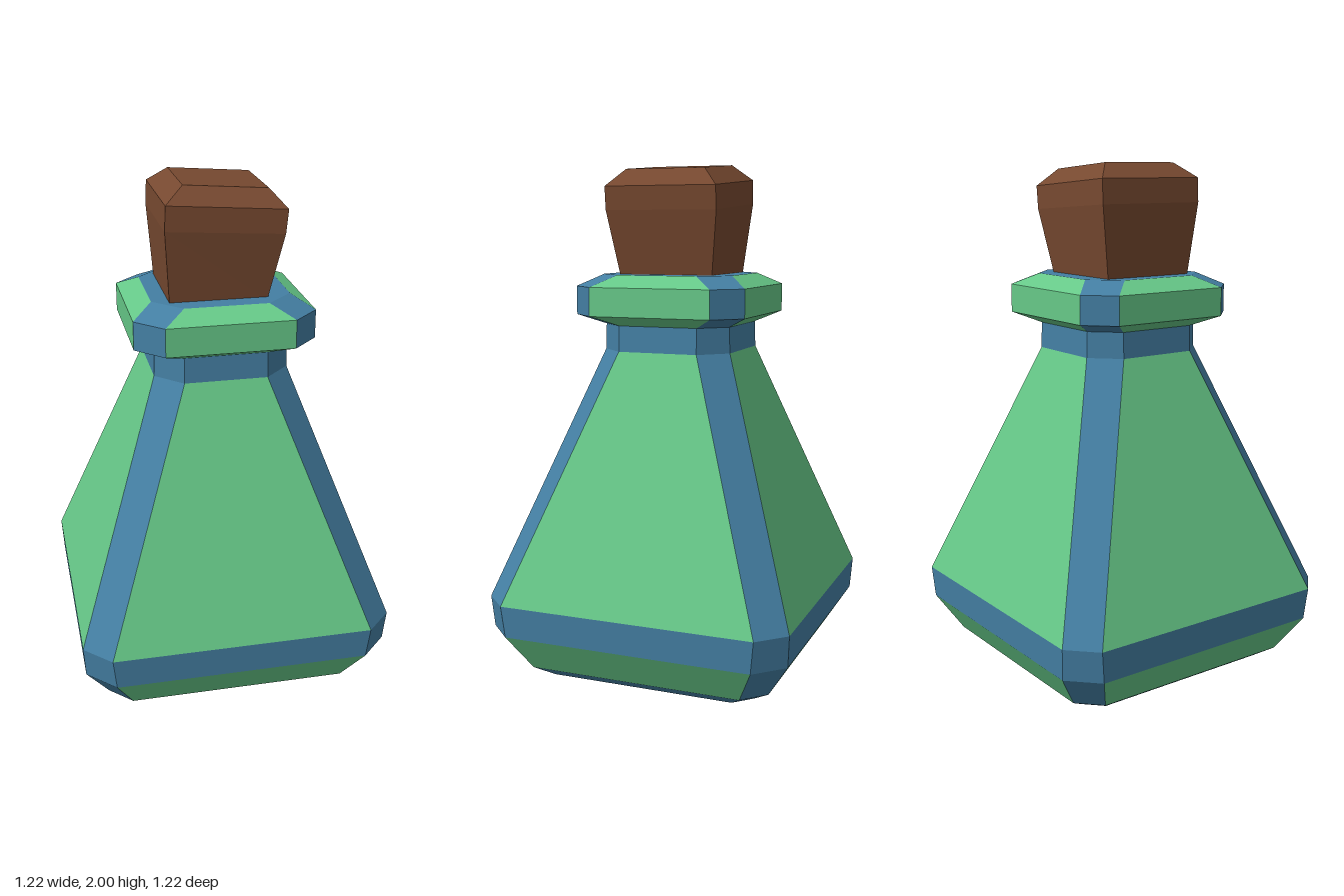
import * as THREE from 'three';

const blue = new THREE.MeshStandardMaterial({ color: 0x447fa3 });
blue.name = 'blueGlassEdge';
const green = new THREE.MeshStandardMaterial({ color: 0x66c888 });
green.name = 'greenGlassPanel';
const brown = new THREE.MeshStandardMaterial({ color: 0x774930 });
brown.name = 'corkBrown';

// Square with cut corners: h is half the width, f is half the flat side
const octagon = (y, h, f) =>
  [[h, -f], [h, f], [f, h], [-f, h], [-h, f], [-h, -f], [-f, -h], [f, -h]].map(([x, z]) => [x, y, z]);

// Rectangle that may tilt from its left to its right end
const tilted = (xl, yl, xr, yr, d) => [[xr, yr, -d], [xr, yr, d], [xl, yl, d], [xl, yl, -d]];

// Flat-faced mesh from a list of convex polygons
function polyMesh(name, polygons, material) {
  const pos = [];
  for (const p of polygons)
    for (let i = 1; i < p.length - 1; i++) pos.push(...p[0], ...p[i], ...p[i + 1]);
  const geo = new THREE.BufferGeometry();
  geo.setAttribute('position', new THREE.Float32BufferAttribute(pos, 3));
  geo.computeVertexNormals();
  const mesh = new THREE.Mesh(geo, material);
  mesh.name = name;
  return mesh;
}

// Side faces between two rings, a below b
const band = (a, b) =>
  a.map((p, i) => [p, b[i], b[(i + 1) % a.length], a[(i + 1) % a.length]]);

export function createModel() {
  const model = new THREE.Group();
  model.name = 'corkedBottle';

  // Bottle levels: height, half width, half flat side, and whether the panels above are green
  const levels = [
    [0, 0.435, 0.37, false],
    [0.05, 0.51, 0.425, true],
    [0.195, 0.602, 0.495, false],
    [0.32, 0.61, 0.508, true],
    [1.28, 0.26, 0.16, false],
    [1.38, 0.257, 0.16, true],
    [1.42, 0.345, 0.243, true],
    [1.53, 0.345, 0.243, true],
    [1.575, 0.265, 0.16, false],
  ];
  const rings = levels.map(([y, h, f]) => octagon(y, h, f));
  const panels = [];
  const edges = [rings[0], [...rings.at(-1)].reverse()];
  for (let k = 0; k < rings.length - 1; k++)
    band(rings[k], rings[k + 1]).forEach((face, i) => {
      (levels[k][3] && i % 2 === 0 ? panels : edges).push(face);
    });
  model.add(polyMesh('glassPanels', panels, green), polyMesh('glassFrame', edges, blue));

  // Crooked cork with a bevelled top
  const cork = [
    tilted(-0.2, 1.56, 0.17, 1.56, 0.188),
    tilted(-0.22, 1.85, 0.226, 1.82, 0.225),
    tilted(-0.216, 1.943, 0.235, 1.91, 0.225),
    tilted(-0.142, 2, 0.176, 1.976, 0.16),
  ];
  const corkFaces = [cork[0], [...cork[3]].reverse()];
  for (let k = 0; k < 3; k++) corkFaces.push(...band(cork[k], cork[k + 1]));
  model.add(polyMesh('cork', corkFaces, brown));

  return model;
}
